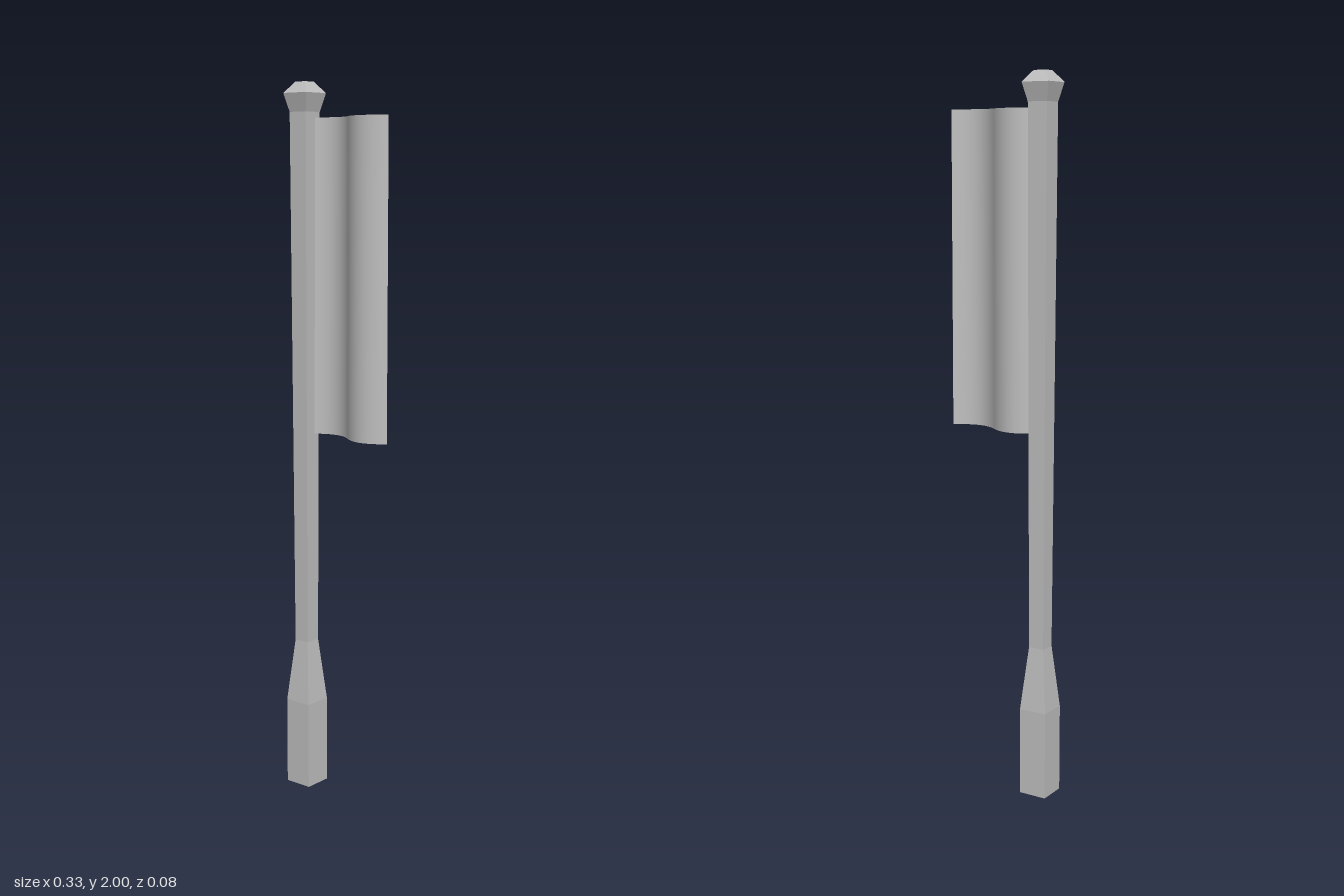
import * as THREE from 'three';

const grey = new THREE.MeshStandardMaterial({ color: 0xbfbfbf, side: THREE.DoubleSide });
grey.name = 'plainGrey';

// Square column with flat faces from [halfWidth, height] pairs
function squareColumn(profile) {
  const points = profile.map(([half, y]) => new THREE.Vector2(half * Math.SQRT2, y));
  const geometry = new THREE.LatheGeometry(points, 4, Math.PI / 4).toNonIndexed();
  geometry.computeVertexNormals();
  return geometry;
}

export function createModel() {
  const group = new THREE.Group();
  group.name = 'bannerPost';

  function add(name, geometry, x, y) {
    const mesh = new THREE.Mesh(geometry, grey);
    mesh.name = name;
    mesh.position.set(x, y, 0);
    group.add(mesh);
  }

  // Post: thick foot, tapered waist, slightly widening shaft
  const postX = -0.125;
  add('post', squareColumn([
    [0, 0], [0.041, 0], [0.041, 0.25], [0.023, 0.43], [0.029, 1.92],
  ]), postX, 0);

  // Finial: flared block with a truncated pyramid on top
  add('finial', squareColumn([
    [0.029, 1.92], [0.041, 1.97], [0.018, 2], [0, 2],
  ]), postX, 0);

  // Banner: thin sheet following one full wave, back then forward
  const startX = -0.109, endX = 0.165, bottom = 1.035, top = 1.905;
  const length = endX - startX;
  const sheet = new THREE.PlaneGeometry(length, top - bottom, 40, 1);
  const pos = sheet.attributes.position;
  for (let i = 0; i < pos.count; i++) {
    const t = (pos.getX(i) / length + 0.5) * 2;
    const half = t < 1 ? t : t - 1;
    const bulge = 0.029 * 4 * half * (1 - half);
    pos.setZ(i, t < 1 ? -bulge : bulge);
  }
  sheet.computeVertexNormals();
  add('banner', sheet, (startX + endX) / 2, (bottom + top) / 2);

  return group;
}
